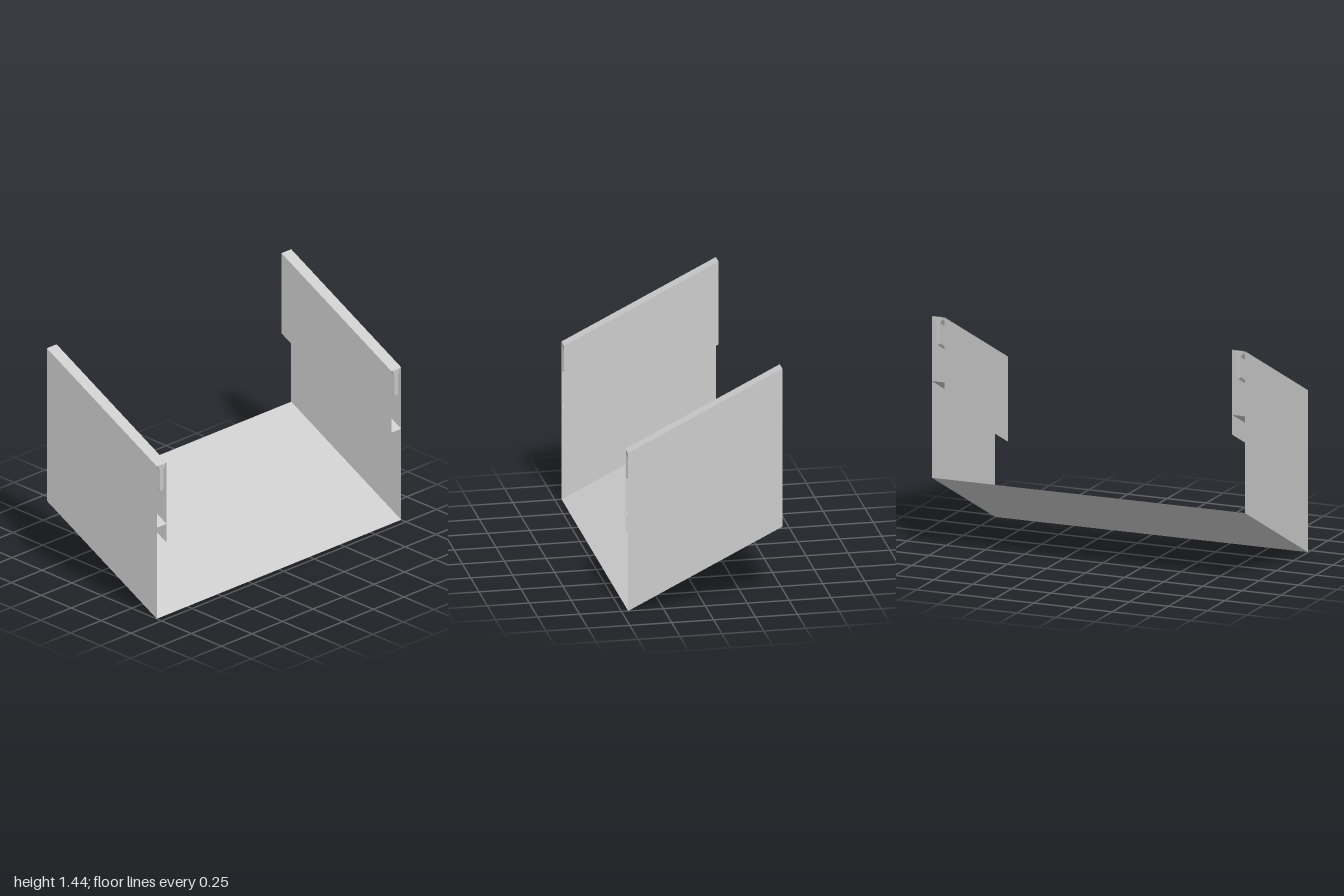
import * as THREE from 'three';

const HALF_DEPTH = 0.46, RISE = 0.46, WALL = 0.98;
const material = new THREE.MeshStandardMaterial({ color: 0xcccccc, flatShading: true, side: THREE.DoubleSide });

// Slope a geometry so that it climbs by RISE from front to back
function slope(geometry) {
  const p = geometry.attributes.position;
  for (let i = 0; i < p.count; i++) {
    p.setY(i, p.getY(i) + RISE * (HALF_DEPTH - p.getZ(i)) / (2 * HALF_DEPTH));
  }
  geometry.computeVertexNormals();
  return geometry;
}

// Thin sheet between two points of the front cross-section, run to the back
function sheet(name, [x0, y0], [x1, y1]) {
  const f = HALF_DEPTH, b = -HALF_DEPTH;
  const geometry = new THREE.BufferGeometry();
  geometry.setAttribute('position', new THREE.Float32BufferAttribute([
    x0, y0, f, x1, y1, f, x1, y1, b,
    x0, y0, f, x1, y1, b, x0, y0, b,
  ], 3));
  const mesh = new THREE.Mesh(slope(geometry), material);
  mesh.name = name;
  return mesh;
}

// Solid bar with a closed cross-section, run to the back
function bar(name, shape) {
  const geometry = new THREE.ExtrudeGeometry(shape, {
    depth: 2 * HALF_DEPTH, bevelEnabled: false, curveSegments: 8,
  });
  geometry.translate(0, 0, -HALF_DEPTH);
  const mesh = new THREE.Mesh(slope(geometry), material);
  mesh.name = name;
  return mesh;
}

// Guide rail: round head under the cap with a narrow stem
function railShape(cx) {
  const shape = new THREE.Shape();
  shape.moveTo(cx - 0.027, WALL - 0.002);
  shape.lineTo(cx - 0.027, 0.965);
  shape.lineTo(cx - 0.013, 0.94);
  shape.lineTo(cx - 0.013, 0.82);
  shape.lineTo(cx - 0.007, 0.81);
  shape.lineTo(cx + 0.007, 0.81);
  shape.lineTo(cx + 0.013, 0.82);
  shape.lineTo(cx + 0.013, 0.94);
  shape.lineTo(cx + 0.027, 0.965);
  shape.lineTo(cx + 0.027, WALL - 0.002);
  return shape;
}

export function createModel() {
  const model = new THREE.Group();
  model.name = 'slopedChannel';
  model.add(sheet('slopedFloor', [-1, 0], [1, 0]));

  // Side walls with a hollow upper casing
  for (const s of [1, -1]) {
    const side = new THREE.Group();
    side.name = s > 0 ? 'leftSide' : 'rightSide';
    side.add(
      sheet('outerWall', [s, 0], [s, WALL]),
      sheet('topCap', [s, WALL], [s * 0.92, WALL]),
      sheet('innerPanel', [s * 0.92, WALL], [s * 0.92, 0.465]),
      sheet('casingBottom', [s * 0.92, 0.585], [s, 0.585]),
      bar('guideRail', railShape(s * 0.96)),
    );
    model.add(side);
  }
  return model;
}
